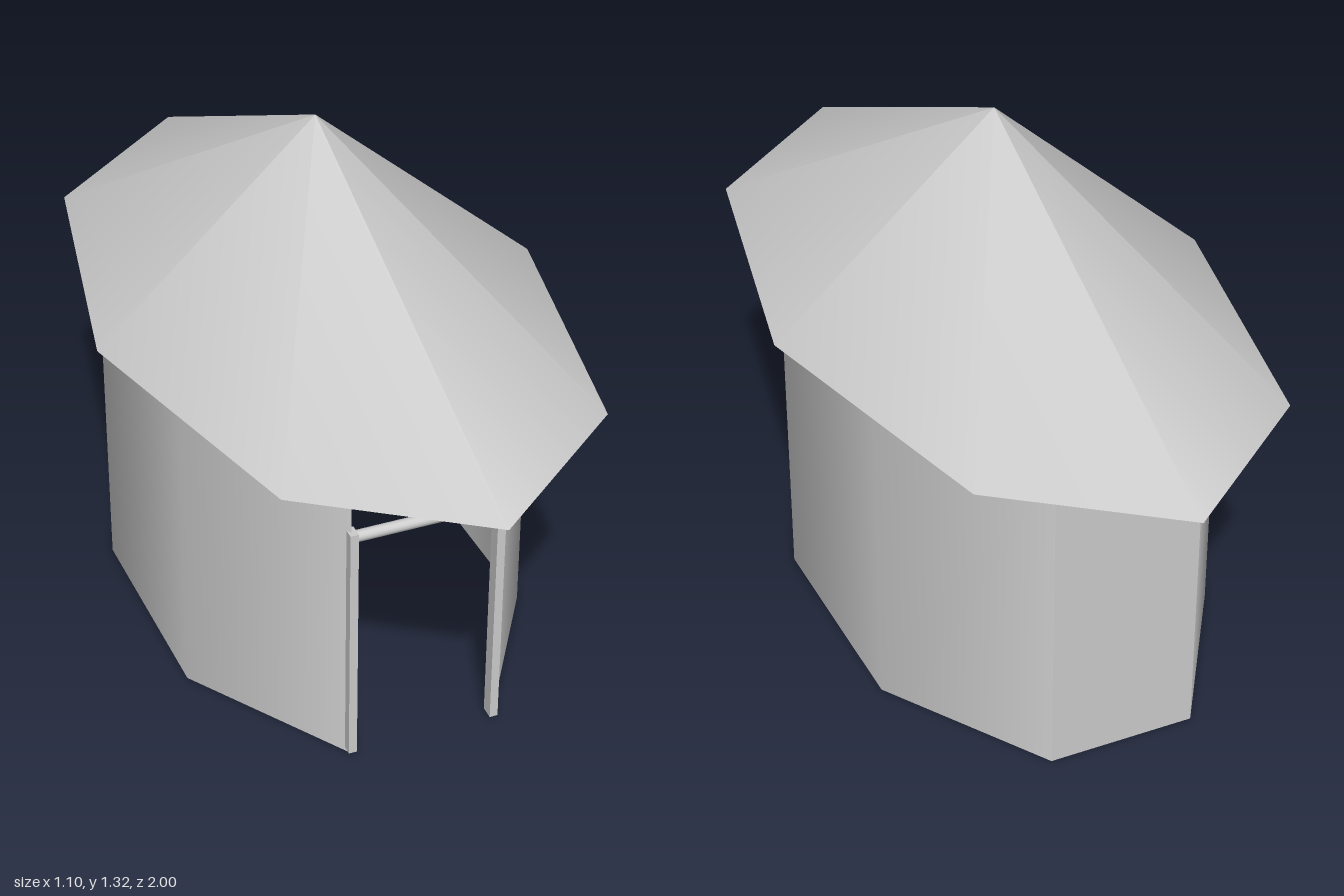
import * as THREE from 'three';

const rad = THREE.MathUtils.degToRad;
const smooth = new THREE.MeshStandardMaterial({ color: 0xcccccc, side: THREE.DoubleSide });
const flat = new THREE.MeshStandardMaterial({ color: 0xcccccc, side: THREE.DoubleSide, flatShading: true });

function part(name, geometry, material) {
  const mesh = new THREE.Mesh(geometry, material);
  mesh.name = name;
  return mesh;
}

// One run of panels of the stretched octagonal wall, angles measured from the front
const WALL = { rx: 0.47, rz: 0.725, height: 0.83, turn: -1.3, x: -0.006, z: -0.035 };
function wallRun(name, start, panels, material) {
  const g = new THREE.CylinderGeometry(1, 1, WALL.height, panels, 1, true,
    rad(start + WALL.turn), rad(panels * 45));
  g.scale(WALL.rx, 1, WALL.rz);
  g.translate(WALL.x, WALL.height / 2, WALL.z);
  return part(name, g, material);
}

export function createModel() {
  const hut = new THREE.Group();
  hut.name = 'hut';

  // Walls: the front panel is left open as the doorway
  const walls = new THREE.Group();
  walls.name = 'walls';
  walls.add(
    wallRun('leftWall', 22.5, 3, smooth),
    wallRun('backWall', 157.5, 1, flat),
    wallRun('rightWall', 202.5, 3, smooth),
  );
  hut.add(walls);

  // Door frame: two thin posts and a round lintel
  const doorFrame = new THREE.Group();
  doorFrame.name = 'doorFrame';
  for (const [name, x, z] of [['leftPost', 0.163, 0.637], ['rightPost', -0.193, 0.625]]) {
    const post = part(name, new THREE.BoxGeometry(0.02, 0.62, 0.034), flat);
    post.position.set(x, 0.32, z);
    post.rotation.y = rad(-2.5);
    doorFrame.add(post);
  }
  const lintel = part('lintel', new THREE.CylinderGeometry(0.014, 0.014, 0.35, 12), smooth);
  lintel.rotation.set(0, rad(-2), rad(90.5));
  lintel.position.set(-0.017, 0.617, 0.632);
  doorFrame.add(lintel);
  hut.add(doorFrame);

  // Roof: open eight-sided cone, stretched front to back and slightly tilted
  const cone = new THREE.ConeGeometry(1, 0.488, 8, 1, true);
  cone.scale(0.55, 1, 1);
  cone.translate(0, 0.244, 0);
  const roof = part('roof', cone, smooth);
  roof.position.set(-0.005, 0.832, 0);
  roof.rotation.z = 0.0147;
  hut.add(roof);

  return hut;
}
